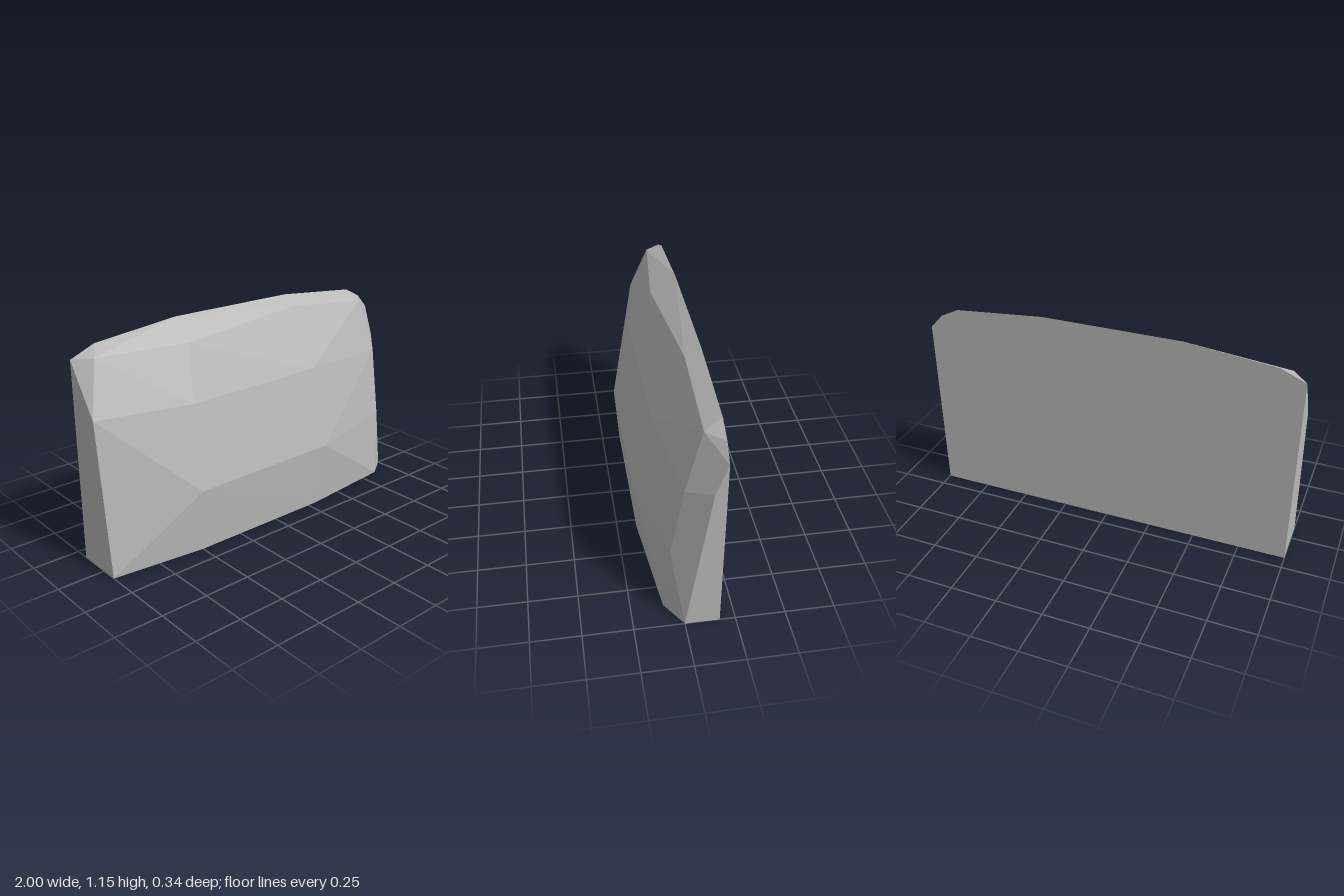
import * as THREE from 'three';
import { ConvexGeometry } from 'three/addons/geometries/ConvexGeometry.js';

export function createModel() {
  const stone = new THREE.MeshStandardMaterial({ color: 0xb8b8b8 });
  stone.name = 'grey stone';

  // Corner rings of the faceted slab, each point as [x, y, z]
  const rings = {
    base: [[-1, 0, 0.09], [-0.5, 0, 0.145], [0.3, 0, 0.145], [0.87, 0, 0.088], [1, 0, 0]],
    belly: [[-0.51, 0.34, 0.17], [0.35, 0.35, 0.17], [0.89, 0.38, 0.06]],
    chest: [[-1, 0.79, 0], [-0.48, 0.77, 0.072], [0.34, 0.78, 0.07], [0.895, 0.76, 0], [1, 0.82, -0.115]],
    shoulder: [[-0.92, 1.055, -0.09], [-0.42, 1.045, -0.04], [0.33, 1.1, -0.095], [0.845, 1.05, -0.088]],
    // Flat back outline
    back: [[-1, 0, -0.172], [-1, 1.045, -0.172], [-0.87, 1.1, -0.172], [-0.4, 1.15, -0.172],
      [0.34, 1.15, -0.172], [0.83, 1.105, -0.172], [0.93, 1.055, -0.172], [1, 0.98, -0.172], [1, 0, -0.172]],
  };

  // Hard-edged hull around the corners
  const points = Object.values(rings).flat().map((p) => new THREE.Vector3(...p));
  const slab = new THREE.Mesh(new ConvexGeometry(points), stone);
  slab.name = 'rockSlab';

  const model = new THREE.Group();
  model.name = 'rock';
  model.add(slab);
  return model;
}
